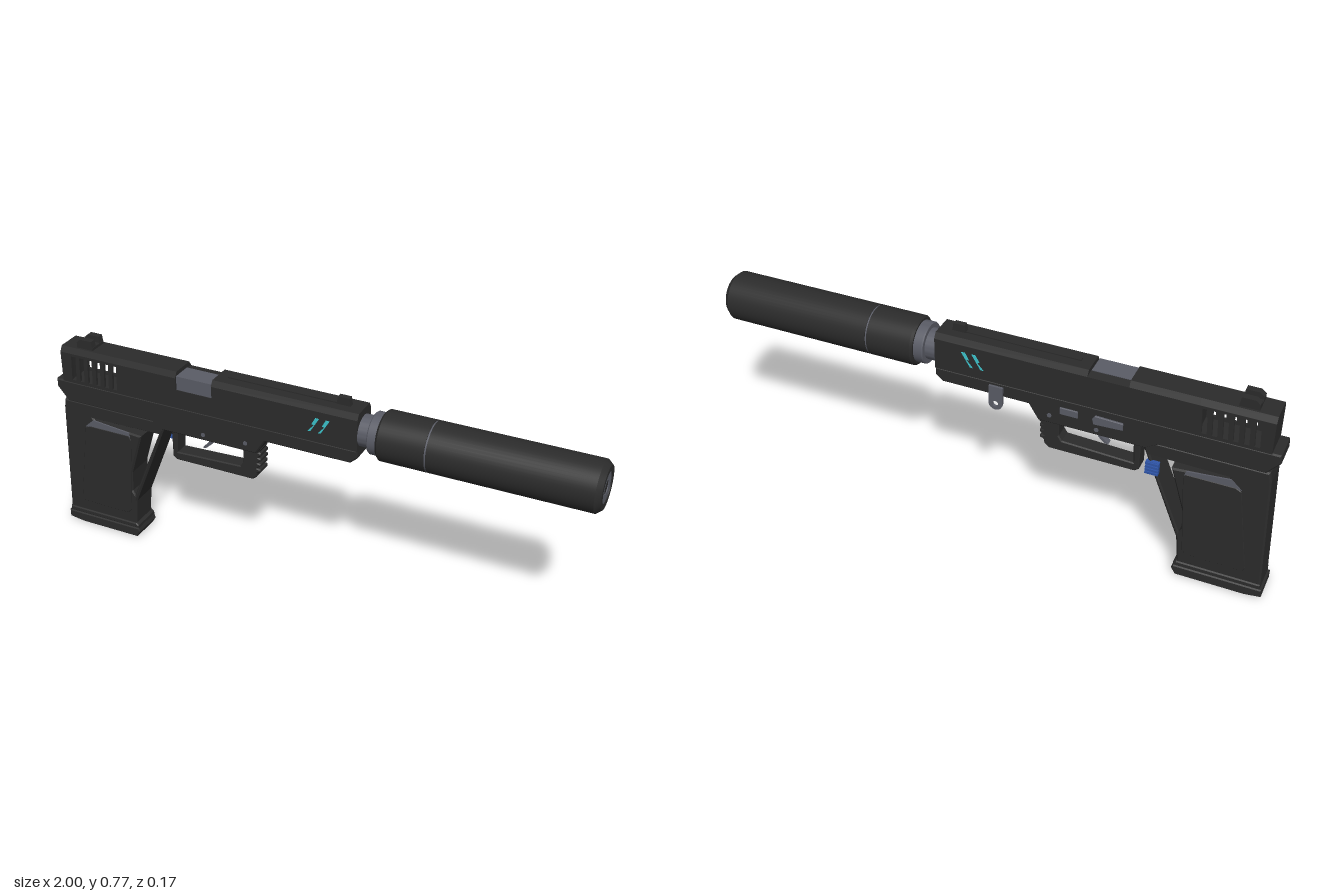
import * as THREE from 'three';
import { toCreasedNormals } from 'three/addons/utils/BufferGeometryUtils.js';

const mat = (name, color) => {
  const m = new THREE.MeshStandardMaterial({ color });
  m.name = name;
  return m;
};

export function createModel() {
  const group = new THREE.Group();
  const black = mat('matte black', 0x2b2b2b);
  const grey = mat('gunmetal grey', 0x5a5c66);
  const blue = mat('blue', 0x2f55a8);
  const cyan = mat('cyan', 0x3cc4cc);

  const add = (name, geo, material) => {
    const m = new THREE.Mesh(geo, material);
    m.name = name;
    group.add(m);
    return m;
  };
  const box = (name, x0, x1, y0, y1, z0, z1, material) => {
    const g = new THREE.BoxGeometry(x1 - x0, y1 - y0, z1 - z0);
    g.translate((x0 + x1) / 2, (y0 + y1) / 2, (z0 + z1) / 2);
    return add(name, g, material);
  };
  const vecs = (pts) => pts.map(([x, y]) => new THREE.Vector2(x, y));
  // Side outline (x, y) given thickness from z0 to z1, with an optional bevel
  const plate = (name, pts, z0, z1, material, bevel = 0, holes = []) => {
    const shape = new THREE.Shape(vecs(pts));
    holes.forEach((h) => shape.holes.push(new THREE.Path(vecs(h))));
    const g = new THREE.ExtrudeGeometry(shape, {
      depth: z1 - z0 - 2 * bevel, bevelEnabled: bevel > 0, bevelThickness: bevel,
      bevelSize: bevel, bevelOffset: -bevel, bevelSegments: 1, curveSegments: 12,
    });
    g.translate(0, 0, z0 + bevel);
    return add(name, g, material);
  };
  // Cross-section (z, y) swept from x0 to x1
  const sweepX = (name, pts, x0, x1, material) => {
    const shape = new THREE.Shape(vecs(pts.map(([z, y]) => [-z, y])));
    const g = new THREE.ExtrudeGeometry(shape, { depth: x1 - x0, bevelEnabled: false });
    g.rotateY(Math.PI / 2).translate(x0, 0, 0);
    return add(name, g, material);
  };
  // Turned part along the barrel axis, profile as (x, radius)
  const turned = (name, pts, material) => {
    const g = new THREE.LatheGeometry(vecs(pts.map(([x, r]) => [r, x])), 48);
    g.rotateZ(-Math.PI / 2).translate(0, 0.655, 0);
    return add(name, toCreasedNormals(g, 0.5), material);
  };

  // Slide: solid front and middle, lowered around the ejection port
  const section = [[-0.055, 0.6], [0.055, 0.6], [0.055, 0.715], [0.043, 0.735], [-0.043, 0.735], [-0.055, 0.715]];
  sweepX('slideFront', section, -0.35, 0.19, black);
  sweepX('slideMiddle', section, -0.72, -0.49, black);
  sweepX('slidePort', [[-0.055, 0.6], [0.055, 0.6], [0.055, 0.67], [-0.022, 0.67], [-0.022, 0.72], [-0.055, 0.715]], -0.49, -0.35, black);
  box('chamberBlock', -0.488, -0.352, 0.665, 0.722, -0.022, 0.052, grey);
  box('slideTopRib', -0.31, 0.14, 0.73, 0.739, -0.007, 0.007, black);

  // Hollow slide rear with slanted through slots
  const slots = [];
  for (let i = 0; i < 6; i++) {
    const x = -0.921 + i * 0.034;
    slots.push([[x, 0.612], [x + 0.018, 0.612], [x + 0.023, 0.705], [x + 0.005, 0.705]]);
  }
  const rear = [[-0.96, 0.6], [-0.72, 0.6], [-0.72, 0.715], [-0.96, 0.715]];
  plate('slideRearWallLeft', rear, 0.045, 0.055, black, 0, slots);
  plate('slideRearWallRight', rear, -0.055, -0.045, black, 0, slots);
  sweepX('slideRearTop', [[-0.055, 0.71], [0.055, 0.71], [0.055, 0.715], [0.043, 0.735], [-0.043, 0.735], [-0.055, 0.715]], -0.96, -0.72, black);
  box('slideBackPlate', -0.96, -0.935, 0.6, 0.715, -0.046, 0.046, black);

  // Sights
  for (const s of [-1, 1]) {
    const z = s * 0.0235;
    plate('rearSightPost', [[-0.9, 0.735], [-0.835, 0.735], [-0.84, 0.768], [-0.885, 0.768], [-0.9, 0.755]], z - 0.0115, z + 0.0115, black);
  }
  box('rearSightBase', -0.9, -0.835, 0.733, 0.745, -0.035, 0.035, black);
  plate('frontSight', [[0.095, 0.735], [0.145, 0.735], [0.14, 0.763], [0.1, 0.763]], -0.01, 0.01, black);

  // Slanted colour marks on both sides of the slide
  for (const [z0, z1] of [[0.054, 0.057], [-0.057, -0.054]]) {
    for (const x of [0.012, 0.05]) {
      plate('slideMark', [[x, 0.637], [x + 0.01, 0.637], [x + 0.042, 0.69], [x + 0.028, 0.69], [x + 0.014, 0.664], [x + 0.024, 0.664]], z0, z1, cyan);
    }
  }

  // Frame
  plate('frame', [[-0.99, 0.602], [-0.992, 0.57], [-0.95, 0.52], [-0.6, 0.52], [-0.56, 0.495], [-0.185, 0.495],
    [-0.15, 0.55], [0.165, 0.55], [0.19, 0.572], [0.19, 0.602]], -0.055, 0.055, black, 0.005);

  // Trigger guard with a serrated front edge
  const guard = [[-0.535, 0.5], [-0.535, 0.382], [-0.52, 0.37], [-0.215, 0.37], [-0.2, 0.382]];
  for (let i = 0; i < 4; i++) {
    const y = 0.4 + i * 0.022;
    guard.push([-0.196 + i * 0.003, y], [-0.183 + i * 0.001, y + 0.005], [-0.183 + i * 0.001, y + 0.015], [-0.196 + i * 0.003, y + 0.018]);
  }
  guard.push([-0.18, 0.5]);
  plate('triggerGuard', guard, -0.029, 0.029, black, 0.004,
    [[[-0.515, 0.402], [-0.262, 0.412], [-0.25, 0.43], [-0.25, 0.492], [-0.51, 0.492]]]);
  plate('trigger', [[-0.4, 0.5], [-0.393, 0.465], [-0.42, 0.437], [-0.408, 0.437], [-0.384, 0.458], [-0.378, 0.5]], -0.012, 0.012, grey);

  // Grip with an open window behind the front strap
  plate('grip', [[-0.965, 0.525], [-0.972, 0.49], [-0.99, 0.058], [-0.7, 0.058], [-0.69, 0.16], [-0.555, 0.49], [-0.555, 0.525]],
    -0.054, 0.054, black, 0.006,
    [[[-0.85, 0.468], [-0.575, 0.471], [-0.696, 0.185], [-0.705, 0.2], [-0.7, 0.28], [-0.65, 0.443], [-0.84, 0.458]]]);
  const panel = [[-0.885, 0.425], [-0.865, 0.435], [-0.7, 0.435], [-0.692, 0.42], [-0.715, 0.115], [-0.73, 0.1], [-0.925, 0.1], [-0.932, 0.115]];
  const lip = [[-0.885, 0.43], [-0.695, 0.43], [-0.7, 0.447], [-0.85, 0.462]];
  for (const s of [-1, 1]) {
    const at = (a, b) => (s > 0 ? [a, b] : [-b, -a]);
    plate('gripPanel', panel, ...at(0.05, 0.057), black, 0.002);
    plate('gripPanelLip', lip, ...at(0.05, 0.0555), grey);
  }

  // Magazine base in two steps
  plate('magazineBaseTop', [[-0.99, 0.04], [-0.69, 0.04], [-0.69, 0.052], [-0.7, 0.06], [-0.99, 0.06]], -0.058, 0.058, black, 0.004);
  plate('magazineBase', [[-0.998, 0.008], [-0.94, 0], [-0.7, 0], [-0.685, 0.025], [-0.69, 0.039], [-0.998, 0.039]], -0.058, 0.058, black, 0.004);
  box('magazineBaseCore', -0.985, -0.7, 0.03, 0.065, -0.053, 0.053, black);

  // Magazine release with grip ribs, on the right side
  box('magazineRelease', -0.61, -0.565, 0.402, 0.45, -0.059, -0.045, blue);
  for (let i = 0; i < 4; i++) {
    box('magazineReleaseRib', -0.61, -0.565, 0.403 + i * 0.0125, 0.411 + i * 0.0125, -0.064, -0.058, blue);
  }

  // Slide levers, lanyard loop and pins
  plate('slideStop', [[-0.48, 0.545], [-0.38, 0.54], [-0.375, 0.56], [-0.385, 0.575], [-0.48, 0.572]], -0.062, -0.05, grey, 0.002);
  plate('takedownLever', [[-0.325, 0.545], [-0.262, 0.545], [-0.262, 0.572], [-0.325, 0.572]], -0.06, -0.05, grey, 0.002);
  const loop = [[-0.01, 0.59], [-0.06, 0.59]];
  const eye = [];
  for (let i = 0; i <= 12; i++) {
    const a = Math.PI * (1 + i / 12);
    loop.push([-0.035 + 0.025 * Math.cos(a), 0.524 + 0.025 * Math.sin(a)]);
    eye.push([-0.035 + 0.011 * Math.cos(2 * a), 0.522 + 0.011 * Math.sin(2 * a)]);
  }
  plate('lanyardLoop', loop, -0.064, -0.054, grey, 0, [eye.slice(0, 12)]);
  for (const [x, y] of [[-0.225, 0.527], [-0.39, 0.518]]) {
    const pin = new THREE.CylinderGeometry(0.008, 0.008, 0.114, 16);
    pin.rotateX(Math.PI / 2).translate(x, y, 0);
    add('framePin', pin, grey);
  }

  // Barrel adapter and suppressor
  turned('barrelAdapter', [[0.18, 0], [0.18, 0.055], [0.228, 0.055], [0.228, 0.07], [0.232, 0.073], [0.27, 0.073], [0.27, 0]], grey);
  turned('suppressorRear', [[0.262, 0], [0.262, 0.08], [0.27, 0.087], [0.432, 0.087], [0.432, 0]], black);
  turned('suppressorRing', [[0.43, 0], [0.43, 0.0845], [0.44, 0.0845], [0.44, 0]], grey);
  turned('suppressorBody', [[0.438, 0], [0.438, 0.087], [0.982, 0.087], [1, 0.072], [1, 0.053], [0.992, 0.053], [0.992, 0]], black);
  turned('suppressorCap', [[0.99, 0.053], [0.997, 0.053], [0.997, 0.024], [0.97, 0.024]], grey);
  turned('suppressorBore', [[0.98, 0.0245], [0.9945, 0.0245], [0.9945, 0]], black);

  return group;
}
